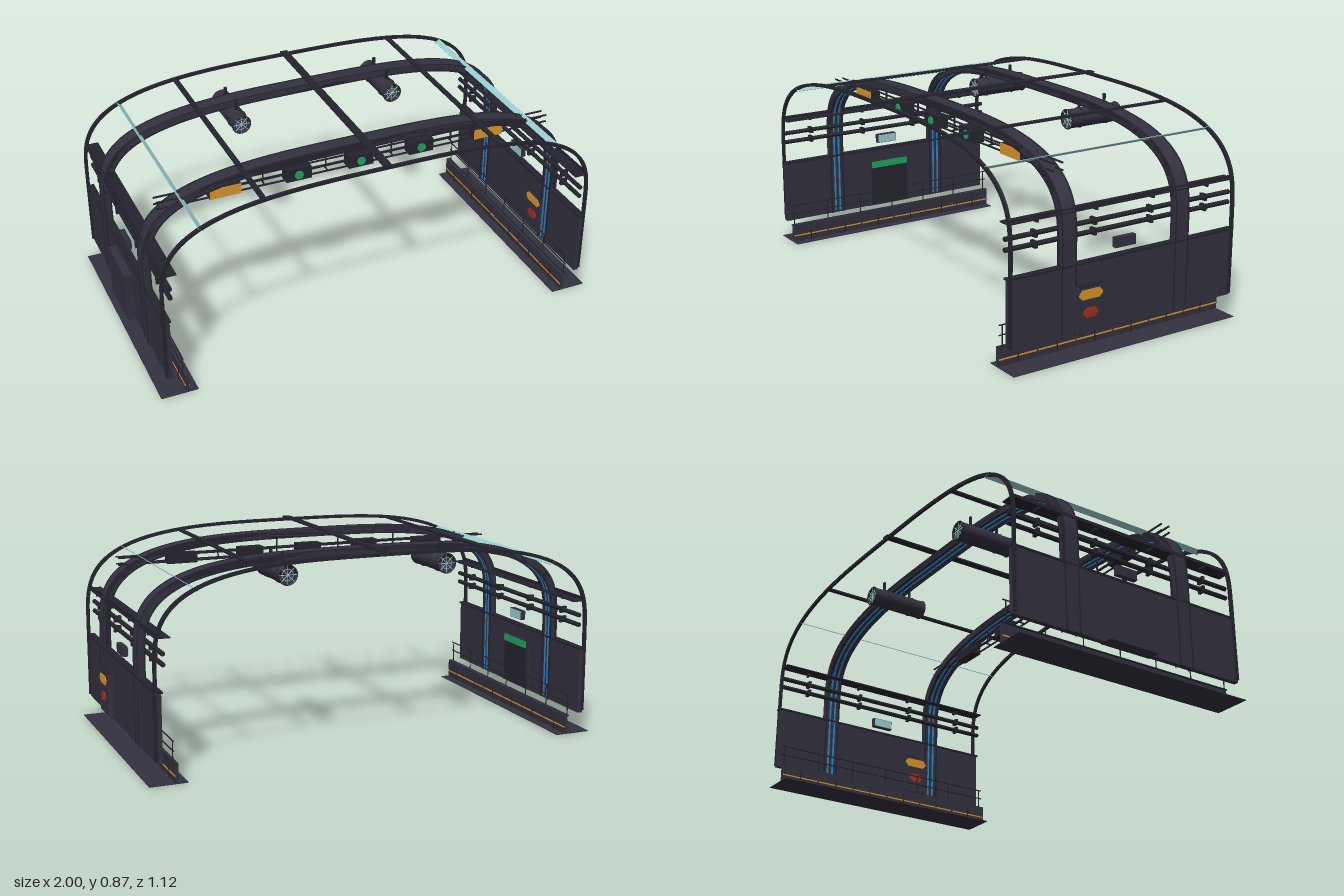
import * as THREE from 'three';
import { toCreasedNormals } from 'three/addons/utils/BufferGeometryUtils.js';

const mat = (name, color, double = false) => {
  const m = new THREE.MeshStandardMaterial({ color });
  m.name = name;
  if (double) m.side = THREE.DoubleSide;
  return m;
};

export function createModel() {
  const root = new THREE.Group();
  root.name = 'tunnelSection';
  const steel = mat('darkSteel', 0x33313f, true);
  const dark = mat('pipeSteel', 0x25242e, true);
  const orange = mat('amber', 0xd9952b);
  const red = mat('signalRed', 0xa03026);
  const green = mat('exitGreen', 0x1fa463);
  const cyan = mat('paleLight', 0x9ccfd0, true);
  const blue = mat('blueLight', 0x2f86c8);
  const LEN = 1.11;

  const add = (name, geo, m, x = 0, y = 0, z = 0, parent = root) => {
    const mesh = new THREE.Mesh(geo, m);
    mesh.name = name;
    mesh.position.set(x, y, z);
    parent.add(mesh);
    return mesh;
  };
  const box = (name, m, w, h, d, x, y, z, parent) =>
    add(name, new THREE.BoxGeometry(w, h, d), m, x, y, z, parent);

  // Vault curve: straight legs below a superelliptical roof
  const SPRING = 0.445, POWER = 2 / 3.3;
  const curve = (a, top, foot) => {
    const pts = [new THREE.Vector2(a, foot)];
    for (let i = 0; i <= 64; i++) {
      const t = (i / 64) * Math.PI, c = Math.cos(t);
      pts.push(new THREE.Vector2(
        a * Math.sign(c) * Math.abs(c) ** POWER,
        SPRING + (top - SPRING) * Math.max(0, Math.sin(t)) ** POWER));
    }
    pts.push(new THREE.Vector2(-a, foot));
    return pts;
  };
  const archBand = (name, m, a, top, thick, foot, depth, z) => {
    const outline = [...curve(a, top, foot), ...curve(a - thick, top - thick, foot).reverse()];
    const geo = new THREE.ExtrudeGeometry(new THREE.Shape(outline), { depth, bevelEnabled: false });
    geo.translate(0, 0, -depth / 2);
    return add(name, toCreasedNormals(geo, 0.6), m, 0, 0, z);
  };

  // End frames and the two main ribs with lights along the inside
  for (const s of [1, -1]) {
    archBand('endFrame', dark, 0.972, 0.862, 0.014, 0.1, 0.012, s * 0.549);
    archBand('mainRib', steel, 0.968, 0.846, 0.026, 0.09, 0.07, s * 0.28);
    for (const e of [1, -1]) {
      archBand('ribFlange', dark, 0.97, 0.848, 0.034, 0.09, 0.006, s * 0.28 + e * 0.032);
      archBand('ribLight', blue, 0.943, 0.821, 0.004, 0.1, 0.008, s * 0.28 + e * 0.012);
    }
  }

  // Roof beams
  box('ridgeBeam', dark, 0.035, 0.007, LEN, 0, 0.867, 0);
  for (const s of [1, -1]) box('roofBeam', dark, 0.022, 0.008, LEN, s * 0.525, 0.835, 0);

  // Wall sides, built alike on left and right
  for (const s of [1, -1]) {
    const side = new THREE.Group();
    side.name = s > 0 ? 'leftSide' : 'rightSide';
    root.add(side);
    const b = (name, m, w, h, d, x, y, z) => box(name, m, w, h, d, s * x, y, z, side);

    b('wall', steel, 0.022, 0.285, LEN, 0.953, 0.233, 0);
    b('wallCap', dark, 0.032, 0.008, LEN + 0.01, 0.953, 0.378, 0);
    b('basePlate', steel, 0.16, 0.003, LEN, 0.92, 0.0015, 0);

    // Curb with joints and amber dashes
    b('curb', steel, 0.013, 0.085, LEN, 0.886, 0.0425, 0);
    for (let i = 0; i < 6; i++) {
      const z = -0.4625 + i * 0.185;
      b('curbDash', orange, 0.017, 0.006, 0.177, 0.886, 0.031, z);
      b('curbJoint', dark, 0.019, 0.062, 0.005, 0.886, 0.031, z);
    }

    // Low handrail
    for (let i = 0; i < 7; i++) b('handrailPost', dark, 0.003, 0.095, 0.004, 0.898, 0.13, -0.54 + i * 0.18);
    for (const y of [0.135, 0.176]) b('handrail', dark, 0.004, 0.004, LEN, 0.898, y, 0);
    b('handrailFoot', dark, 0.012, 0.004, LEN, 0.893, 0.083, 0);

    // Cable tray and two pipes with collars
    b('cableTray', dark, 0.06, 0.005, LEN, 0.93, 0.592, 0);
    b('trayLip', dark, 0.005, 0.018, LEN, 0.952, 0.599, 0);
    for (const y of [0.53, 0.487]) {
      const pipe = add('pipe', new THREE.CylinderGeometry(0.01, 0.01, LEN, 12), dark, s * 0.932, y, 0, side);
      pipe.rotation.x = Math.PI / 2;
    }
    for (const z of [-0.42, -0.14, 0.14, 0.42]) {
      b('trayBracket', dark, 0.03, 0.012, 0.01, 0.94, 0.584, z);
      for (const y of [0.53, 0.487]) b('pipeCollar', dark, 0.032, 0.028, 0.013, 0.932, y, z);
    }

    // Wall lamp
    b('lampHousing', steel, 0.022, 0.042, 0.1, 0.95, 0.428, 0);
    b('lampFace', cyan, 0.004, 0.036, 0.092, 0.937, 0.428, 0);

    // Tilted cove light running the full length
    const cove = b('coveLight', cyan, 0.026, 0.002, LEN, 0.79, 0.77, 0);
    cove.rotation.z = s * 0.63;
  }

  // Plate with cut corners, turned to face +x or -x
  const plate = (name, m, w, h, cut, x, y, z, dir) => {
    const p = [[-w + cut, -h], [w - cut, -h], [w, -h + cut], [w, h - cut], [w - cut, h], [-w + cut, h], [-w, h - cut], [-w, -h + cut]];
    const shape = new THREE.Shape(p.map(([u, v]) => new THREE.Vector2(u, v)));
    const mesh = add(name, new THREE.ExtrudeGeometry(shape, { depth: 0.003, bevelEnabled: false }), m, x, y, z);
    mesh.rotation.y = dir * Math.PI / 2;
  };

  // Emergency cabinet on the left wall
  box('cabinet', steel, 0.055, 0.18, 0.142, 0.962, 0.2, 0.185);
  box('cabinetHood', dark, 0.054, 0.006, 0.12, 0.964, 0.292, 0.185);
  for (const [x, d] of [[0.99, 1], [0.934, -1]]) {
    plate('cabinetAmberSign', orange, 0.056, 0.02, 0.015, x, 0.258, 0.19, d);
    plate('cabinetRedSign', red, 0.035, 0.02, 0.015, x, 0.182, 0.19, d);
  }

  // Escape door on the right wall, green sign inside
  box('escapeDoor', steel, 0.06, 0.23, 0.24, -0.968, 0.205, -0.01);
  box('escapeDoorLeaf', dark, 0.004, 0.2, 0.2, -0.937, 0.195, -0.01);
  plate('escapeSign', green, 0.1, 0.016, 0.003, -0.935, 0.3, -0.01, 1);

  // Sign gantry under the front rib
  const gantry = new THREE.Group();
  gantry.name = 'signGantry';
  gantry.position.z = 0.28;
  root.add(gantry);
  for (const z of [-0.02, 0.02])
    for (const y of [0.74, 0.77]) box('gantryBar', dark, 1.78, 0.006, 0.006, 0, y, z, gantry);
  for (const x of [-0.75, -0.43, -0.15, 0.15, 0.43, 0.75]) {
    const top = Math.abs(x) > 0.6 ? 0.79 : 0.825;
    box('gantryHanger', dark, 0.005, top - 0.738, 0.006, x, (top + 0.738) / 2, 0, gantry);
    box('gantryTie', dark, 0.005, 0.005, 0.04, x, 0.74, 0, gantry);
  }
  for (const x of [-0.28, 0, 0.28]) {
    box('laneSignalBox', dark, 0.112, 0.056, 0.05, x, 0.755, 0, gantry);
    const disc = add('laneSignal', new THREE.CylinderGeometry(0.019, 0.019, 0.004, 20), green, x, 0.753, 0.027, gantry);
    disc.rotation.x = Math.PI / 2;
  }
  for (const x of [-0.6, 0.6]) {
    box('messageBox', dark, 0.136, 0.046, 0.046, x, 0.753, 0, gantry);
    box('messageFace', orange, 0.134, 0.044, 0.004, x, 0.753, 0.025, gantry);
  }

  // Jet fans: open drum, end rings, hub, blades and guard
  for (const x of [-0.36, 0.36]) {
    const fan = new THREE.Group();
    fan.name = 'jetFan';
    fan.position.set(x, 0.772, -0.279);
    root.add(fan);
    const drum = add('fanDrum', new THREE.CylinderGeometry(0.041, 0.041, 0.262, 28, 1, true), steel, 0, 0, 0, fan);
    drum.rotation.x = Math.PI / 2;
    const hub = add('fanHub', new THREE.CylinderGeometry(0.009, 0.009, 0.18, 12), dark, 0, 0, 0, fan);
    hub.rotation.x = Math.PI / 2;
    for (const z of [-0.13, -0.07, 0.07, 0.13])
      add('fanRing', new THREE.TorusGeometry(0.0415, 0.0025, 6, 28), dark, 0, 0, z, fan);
    for (const e of [-1, 1]) {
      add('fanGuard', new THREE.TorusGeometry(0.024, 0.0013, 5, 24), cyan, 0, 0, e * 0.128, fan);
      for (let i = 0; i < 4; i++) {
        const bar = box('fanGuardBar', cyan, 0.08, 0.0025, 0.0025, 0, 0, e * 0.128, fan);
        bar.rotation.z = i * Math.PI / 4;
      }
      box('fanHanger', dark, 0.012, 0.05, 0.008, 0, 0.062, e * 0.067, fan);
    }
    for (let i = 0; i < 8; i++) {
      const blade = box('fanBlade', dark, 0.03, 0.003, 0.014, 0.024, 0, 0, new THREE.Group());
      blade.rotation.x = 0.6;
      blade.parent.rotation.z = i * Math.PI / 4;
      fan.add(blade.parent);
    }
  }
  return root;
}
